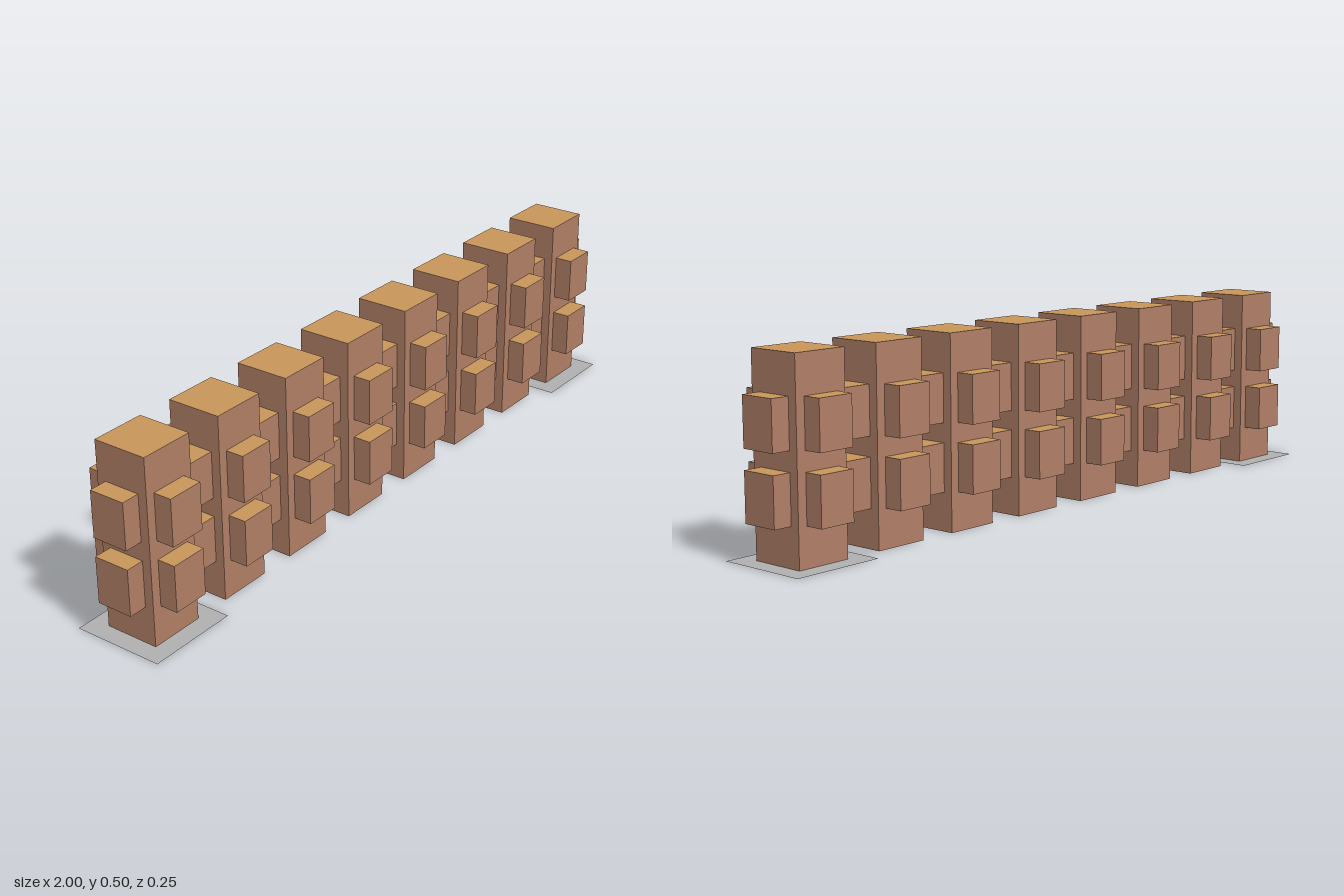
import * as THREE from 'three';

export function createModel() {
  const model = new THREE.Group();
  model.name = 'fence';

  const mat = (name, color) => new THREE.MeshStandardMaterial({ name, color });
  const bark = mat('brown wood', 0xb07e66);
  const cut = mat('tan wood top', 0xc8955a);
  const stone = mat('grey plate', 0xb0b0b0);
  stone.side = THREE.DoubleSide;

  // Box with a tan upper face, placed by its centre
  const block = (parent, name, w, h, d, x, y, z) => {
    const mesh = new THREE.Mesh(
      new THREE.BoxGeometry(w, h, d),
      [bark, bark, cut, bark, bark, bark]
    );
    mesh.name = name;
    mesh.position.set(x, y, z);
    parent.add(mesh);
  };

  const railHeights = [0.1625, 0.3375];

  // Two long rails running through all the posts
  for (const y of railHeights) block(model, 'rail', 2, 0.125, 0.1, 0, y, 0);

  // Eight posts with stub blocks on front and back
  for (let i = 0; i < 8; i++) {
    const post = new THREE.Group();
    post.name = 'post';
    post.position.x = -0.875 + i * 0.25;
    block(post, 'postBody', 0.15, 0.5, 0.15, 0, 0.25, 0);
    for (const y of railHeights)
      for (const side of [-1, 1])
        block(post, 'stub', 0.1, 0.125, 0.05, 0, y, side * 0.1);
    model.add(post);
  }

  // Flat ground plates framing the feet of the two end posts
  const square = (path, r) =>
    path.moveTo(-r, -r).lineTo(r, -r).lineTo(r, r).lineTo(-r, r).closePath();
  const outline = new THREE.Shape();
  square(outline, 0.125);
  const hole = new THREE.Path();
  square(hole, 0.075);
  outline.holes.push(hole);
  const plateGeometry = new THREE.ShapeGeometry(outline).rotateX(-Math.PI / 2);
  for (const side of [-1, 1]) {
    const plate = new THREE.Mesh(plateGeometry, stone);
    plate.name = 'groundPlate';
    plate.position.x = side * 0.875;
    model.add(plate);
  }

  return model;
}
